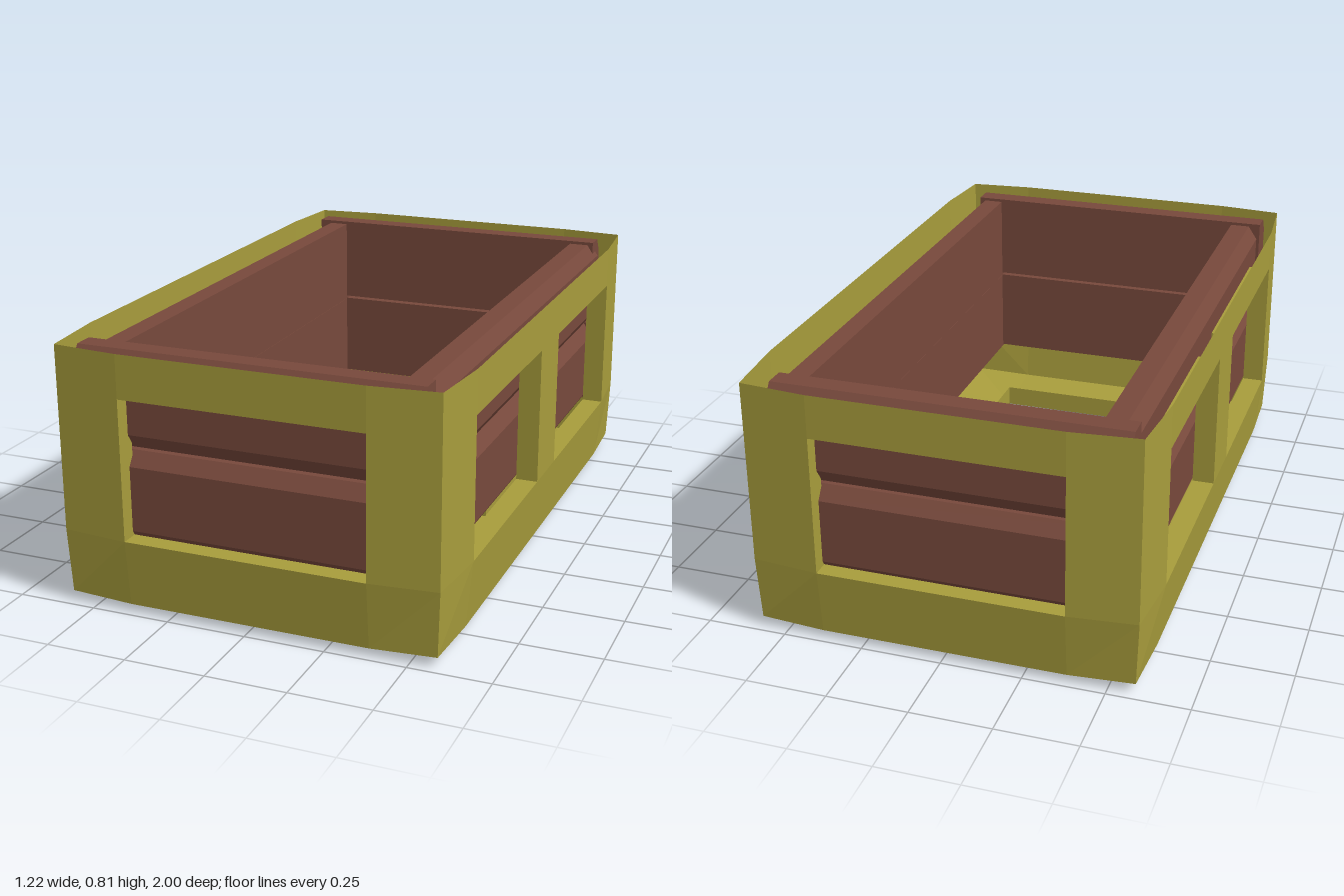
import * as THREE from 'three';

const W = 0.61, H = 0.81, L = 1, REVEAL = 0.07;
const olive = new THREE.MeshStandardMaterial({ color: 0xa89d3c, flatShading: true, side: THREE.DoubleSide });
const redBrown = new THREE.MeshStandardMaterial({ color: 0x78493c, flatShading: true });

// Rounds the plain box off: corners pulled in, lower edge tucked in and raised
function bow([x, y, z]) {
  const ex = Math.abs(x) === W, ez = Math.abs(z) === L, low = y === 0;
  const corner = ex && ez;
  const pull = corner ? (low ? 0.028 : 0.02) : (low ? 0.02 : 0);
  return [
    ex ? x - Math.sign(x) * pull : x,
    low && (ex || ez) ? (corner ? 0.032 : 0.026) : y,
    ez ? z - Math.sign(z) * pull : z,
  ];
}

// Thin panel on a grid; the cells in holes stay open and get a reveal pointing inward
function panel(name, us, vs, place, inward, holes) {
  const pos = [];
  const quad = (a, b, c, d) => pos.push(...a, ...b, ...c, ...a, ...c, ...d);
  const inner = p => p.map((n, i) => n + inward[i] * REVEAL);
  for (let i = 0; i < us.length - 1; i++) {
    for (let j = 0; j < vs.length - 1; j++) {
      const c = [[i, j], [i + 1, j], [i + 1, j + 1], [i, j + 1]].map(([a, b]) => bow(place(us[a], vs[b])));
      if (holes.some(([a, b]) => a === i && b === j)) {
        c.forEach((p, k) => {
          const q = c[(k + 1) % 4];
          quad(p, q, inner(q), inner(p));
        });
      } else quad(...c);
    }
  }
  const geo = new THREE.BufferGeometry();
  geo.setAttribute('position', new THREE.Float32BufferAttribute(pos, 3));
  geo.computeVertexNormals();
  const mesh = new THREE.Mesh(geo, olive);
  mesh.name = name;
  return mesh;
}

// Plank with its outer long edges bevelled; x = 0 is the inner face
function plank(name, length, y0, y1) {
  const t = 0.095, bx = 0.03, by = 0.045;
  const shape = new THREE.Shape([
    [0, y0], [t - bx, y0], [t, y0 + by], [t, y1 - by], [t - bx, y1], [0, y1],
  ].map(p => new THREE.Vector2(...p)));
  const geo = new THREE.ExtrudeGeometry(shape, { depth: length, bevelEnabled: false });
  geo.translate(0, 0, -length / 2);
  const mesh = new THREE.Mesh(geo, redBrown);
  mesh.name = name;
  return mesh;
}

function wall(name, length, low, high, x, z, angle) {
  const group = new THREE.Group();
  group.name = name;
  group.add(plank('lowerPlank', length, ...low), plank('upperPlank', length, ...high));
  group.position.set(x, 0, z);
  group.rotation.y = angle;
  return group;
}

export function createModel() {
  const model = new THREE.Group();
  model.name = 'crate';

  // Outer frame with window openings and an open top
  const frame = new THREE.Group();
  frame.name = 'frame';
  const xs = [-W, -0.38, 0.38, W];
  const ys = [0, 0.235, 0.675, H];
  const zs = [-L, -0.75, -0.1, 0.1, 0.75, L];
  for (const s of [1, -1]) {
    frame.add(panel(s > 0 ? 'frontPanel' : 'backPanel', xs, ys,
      (u, v) => [s * u, v, s * L], [0, 0, -s], [[1, 1]]));
    frame.add(panel(s > 0 ? 'leftPanel' : 'rightPanel', zs, ys,
      (u, v) => [s * W, v, -s * u], [-s, 0, 0], [[1, 1], [3, 1]]));
  }
  frame.add(panel('floorPanel', xs, zs, (u, v) => [u, 0, v], [0, 1, 0], [[1, 1], [1, 3]]));
  model.add(frame);

  // Inner plank box
  const endLow = [0.205, 0.497], endHigh = [0.506, 0.8];
  const sideLow = [0.2, 0.494], sideHigh = [0.495, 0.79];
  model.add(
    wall('frontWall', 1.075, endLow, endHigh, -0.0125, 0.855, -Math.PI / 2),
    wall('backWall', 1.075, endLow, endHigh, -0.0125, -0.86, Math.PI / 2),
    wall('leftWall', 1.8, sideLow, sideHigh, 0.44, 0, 0),
    wall('rightWall', 1.8, sideLow, sideHigh, -0.445, 0, Math.PI),
  );
  return model;
}
